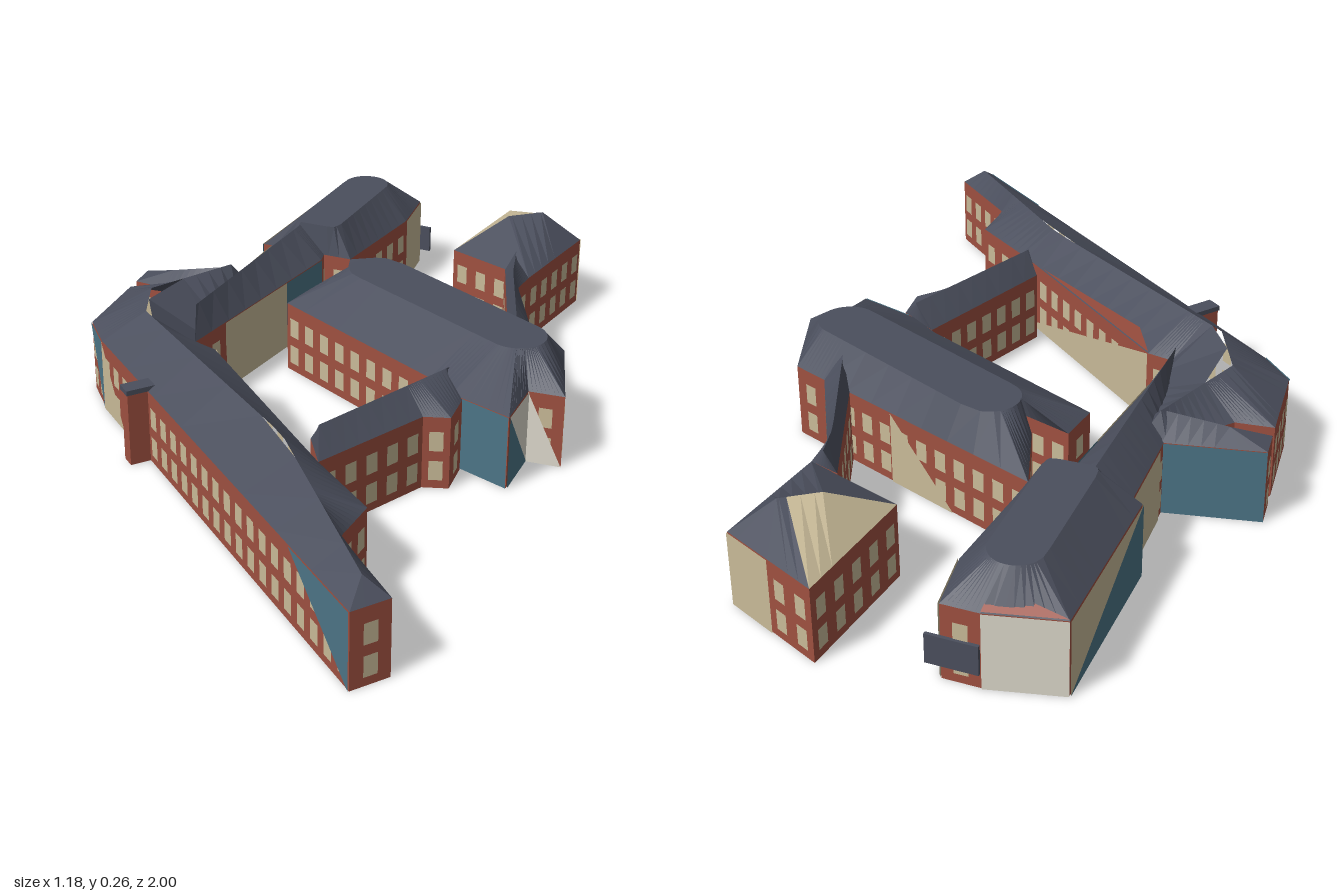
import * as THREE from 'three';

const EAVE = 0.18;
const mat = (name, color, side = THREE.FrontSide) => {
  const m = new THREE.MeshStandardMaterial({ color, side });
  m.name = name;
  return m;
};
const M = {
  brick: mat('brick red', 0x9e5040),
  cream: mat('cream', 0xc8ba98, THREE.DoubleSide),
  teal: mat('teal', 0x4c7486, THREE.DoubleSide),
  white: mat('off white', 0xdedacd, THREE.DoubleSide),
  slate: mat('slate', 0x4b4f5d, THREE.DoubleSide),
};

function addMesh(parent, name, pos, material) {
  if (!pos.length) return;
  const g = new THREE.BufferGeometry();
  g.setAttribute('position', new THREE.Float32BufferAttribute(pos, 3));
  g.computeVertexNormals();
  const mesh = new THREE.Mesh(g, material);
  mesh.name = name;
  parent.add(mesh);
}

// Push a triangle turned to face up (1) or down (-1)
function facing(out, a, b, c, dir) {
  const ny = (b[2] - a[2]) * (c[0] - a[0]) - (b[0] - a[0]) * (c[2] - a[2]);
  if (Math.abs(ny) > 1e-8) out.push(...a, ...(ny * dir > 0 ? [...b, ...c] : [...c, ...b]));
}

// Nearest point of a ridge line of [x, z, height] to a plan point
function nearestOnRidge(ridge, x, z) {
  let best = null, bestDist = Infinity;
  for (let i = 0; i + 1 < ridge.length; i++) {
    const a = new THREE.Vector3(ridge[i][0], ridge[i][2], ridge[i][1]);
    const b = new THREE.Vector3(ridge[i + 1][0], ridge[i + 1][2], ridge[i + 1][1]);
    const dx = b.x - a.x, dz = b.z - a.z;
    const t = ((x - a.x) * dx + (z - a.z) * dz) / (dx * dx + dz * dz);
    const p = a.lerp(b, THREE.MathUtils.clamp(t, 0, 1));
    const dist = Math.hypot(x - p.x, z - p.z);
    if (dist < bestDist) [best, bestDist] = [p, dist];
  }
  return best;
}

// Hipped roof: every eave point climbs to the nearest ridge point, with an optional flat top
function addRoof(group, plan, ridge, flat, creamEdge) {
  const slate = [], cream = [];
  const rib = (x, z) => {
    const r = nearestOnRidge(ridge, x, z);
    const dist = Math.hypot(x - r.x, z - r.z);
    const k = dist > 0 ? Math.min(flat / dist, 0.8) : 0;
    return [[x, EAVE, z], [r.x + (x - r.x) * k, r.y, r.z + (z - r.z) * k], [r.x, r.y, r.z]];
  };
  plan.forEach((a, i) => {
    const b = plan[(i + 1) % plan.length], steps = 8;
    const ribs = Array.from({ length: steps + 1 }, (_, k) =>
      rib(a[0] + (b[0] - a[0]) * k / steps, a[1] + (b[1] - a[1]) * k / steps));
    const out = i === creamEdge ? cream : slate;
    for (let k = 0; k < steps; k++) for (let j = 0; j < 2; j++) {
      facing(out, ribs[k][j], ribs[k + 1][j], ribs[k + 1][j + 1], 1);
      facing(out, ribs[k][j], ribs[k + 1][j + 1], ribs[k][j + 1], 1);
    }
  });
  addMesh(group, 'roof', slate, M.slate);
  addMesh(group, 'creamRoofSlope', cream, M.cream);
}

// Building block. Plan is an anticlockwise outline of [x, z].
// A panel is [edge, colour, corner or 'all', start, end], the last two as fractions of the wall.
function addBlock(root, name, plan, ridge, { panels = [], flat = 0, creamEdge } = {}) {
  const group = new THREE.Group();
  group.name = name;
  root.add(group);
  const walls = [], windows = [], floor = [];
  const painted = { cream: [], teal: [], white: [] };

  plan.forEach((a, i) => {
    const b = plan[(i + 1) % plan.length];
    const len = Math.hypot(b[0] - a[0], b[1] - a[1]);
    const ux = (b[0] - a[0]) / len, uz = (b[1] - a[1]) / len;
    // Corners of a rectangle on this wall, d outward
    const corners = (s0, s1, y0, y1, d) => [[s0, y0], [s1, y0], [s1, y1], [s0, y1]]
      .map(([s, y]) => [a[0] + ux * s - uz * d, y, a[1] + uz * s + ux * d]);
    const rect = (out, ...size) => {
      const [p, q, r, t] = corners(...size);
      out.push(...p, ...q, ...r, ...p, ...r, ...t);
    };
    rect(walls, 0, len, 0, EAVE, 0);

    // Painted panels, whole or half along the diagonal
    for (const [edge, color, corner, from = 0, to = 1] of panels) {
      if (edge !== i) continue;
      const size = [len * from, len * to, 0, EAVE, 0.003];
      const [p, q, r, t] = corners(...size);
      const half = { ll: [p, q, t], lr: [p, q, r], ur: [q, r, t], ul: [p, r, t] }[corner];
      if (half) painted[color].push(...half.flat());
      else rect(painted[color], ...size);
    }

    // Two rows of evenly spaced windows
    const count = Math.floor((len + 0.008) / 0.056);
    for (let k = 0; k < count; k++) {
      const s = len * (k + 0.5) / count;
      for (const y of [0.021, 0.095]) rect(windows, s - 0.016, s + 0.016, y, y + 0.049, 0.0015);
    }
  });

  const flatPlan = plan.map(p => new THREE.Vector2(...p));
  for (const tri of THREE.ShapeUtils.triangulateShape(flatPlan, []))
    facing(floor, ...tri.map(k => [plan[k][0], 0, plan[k][1]]), -1);
  addMesh(group, 'walls', walls, M.brick);
  addMesh(group, 'floor', floor, M.brick);
  addMesh(group, 'windows', windows, M.cream);
  for (const key in painted) addMesh(group, key + 'Panels', painted[key], M[key]);
  addRoof(group, plan, ridge, flat, creamEdge);
}

function addBox(root, name, size, pos, turn, material) {
  const m = new THREE.Mesh(new THREE.BoxGeometry(...size), material);
  m.name = name;
  m.position.set(...pos);
  m.rotation.y = turn;
  root.add(m);
}

export function createModel() {
  const root = new THREE.Group();
  root.name = 'buildingComplex';

  addBlock(root, 'mainWing',
    [[-.59, -.18], [-.59, .04], [-.52, .13], [.4, 1], [.46, .93], [.3, .76], [.315, .64],
      [.16, .5], [-.25, .08], [-.31, .06], [-.31, -.3], [-.37, -.3], [-.5, -.18]],
    [[-.35, -.27, .24], [-.47, -.05, .25], [-.42, .09, .258], [.09, .53, .25], [.4, .93, .22]],
    { panels: [[1, 'teal', 'ur'], [2, 'cream', 'll', 0, .1], [2, 'teal', 'ur', .8, 1], [7, 'cream', 'lr']] });

  addBlock(root, 'westWing',
    [[-.59, -.285], [-.59, -.215], [-.48, -.2], [-.36, -.22], [-.36, -.305]],
    [[-.5, -.25, .21], [-.36, -.26, .235]],
    { panels: [[4, 'teal', 'all']] });

  addBlock(root, 'northConnector',
    [[-.345, -.55], [-.365, -.3], [-.31, .06], [-.19, -.5], [-.2, -.57]],
    [[-.265, -.56, .25], [-.33, 0, .25]],
    { panels: [[0, 'cream', 'all', 0, .85], [2, 'cream', 'all', .22, .7], [2, 'teal', 'all', .7, 1]] });

  addBlock(root, 'northWestBlock',
    [[-.32, -.97], [-.37, -.55], [-.12, -.53], [-.06, -.83], [-.065, -.98], [-.15, -.99]],
    [[-.19, -.87, .258], [-.22, -.58, .258]],
    { flat: .06, panels: [[0, 'cream', 'ul'], [0, 'teal', 'lr'], [3, 'cream', 'all'], [5, 'white', 'all']] });

  addBlock(root, 'diagonalBlock',
    [[-.12, -.53], [-.077, -.34], [0, -.25], [-.155, -.32], [-.18, -.22], [.27, .05], [.34, .11],
      [.49, .175], [.5, .04], [.585, .04], [.53, -.19], [.45, -.232]],
    [[.02, -.33, .257], [.44, -.08, .257]],
    { flat: .07, panels: [[6, 'teal', 'all'], [7, 'white', 'ur'], [7, 'teal', 'll'], [8, 'white', 'll'],
      [11, 'cream', 'll', .35, .65]] });

  addBlock(root, 'southConnector',
    [[.28, .06], [.11, .41], [.16, .5], [.31, .235], [.37, .22], [.37, .13]],
    [[.33, .08, .235], [.14, .44, .235]]);

  addBlock(root, 'eastLink',
    [[.28, -.6], [.38, -.24], [.46, -.2], [.34, -.5], [.35, -.57]],
    [[.29, -.7, .245], [.325, -.5, .225], [.41, -.2, .235]]);

  addBlock(root, 'pavilion',
    [[.19, -1], [.12, -.68], [.35, -.57], [.42, -.86]],
    [[.24, -.78, .255], [.32, -.83, .258]],
    { creamEdge: 0, panels: [[3, 'cream', 'all', 0, .5]] });

  // Narrow brick slopes showing through the roof edges
  const slopes = [];
  facing(slopes, [-.32, .184, -.97], [-.15, .184, -.99], [-.165, .222, -.95], 1);
  facing(slopes, [-.25, .184, .08], [.1, .184, .44], [-.22, .225, .12], 1);
  addMesh(root, 'brickRoofSlopes', slopes, M.brick);

  // Porch on the long front and canopy plate at the back
  addBox(root, 'porch', [.035, EAVE, .07], [-.335, .09, .325], -.75, M.brick);
  addBox(root, 'porchRoof', [.04, .012, .075], [-.335, .186, .325], -.75, M.slate);
  addBox(root, 'backCanopy', [.115, .07, .008], [-.09, .07, -.987], -.12, M.slate);
  return root;
}
